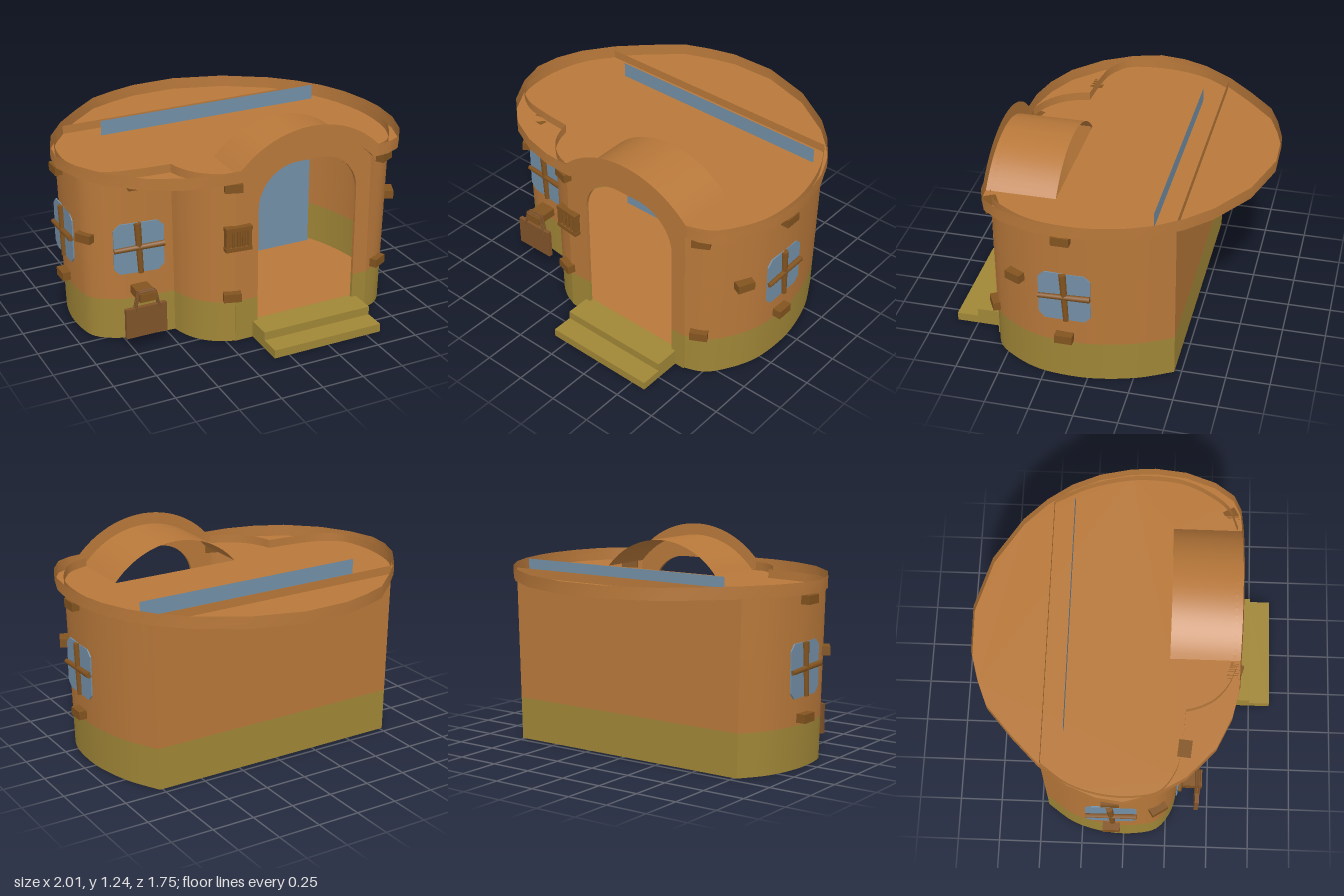
import * as THREE from 'three';
import { toCreasedNormals } from 'three/addons/utils/BufferGeometryUtils.js';

const material = (name, color, side = THREE.FrontSide) => {
  const m = new THREE.MeshStandardMaterial({ color, side });
  m.name = name;
  return m;
};

export function createModel() {
  const group = new THREE.Group();
  group.name = 'cottage';
  const clay = material('clay', 0xb8783a, THREE.DoubleSide);
  const olive = material('olive', 0xa08637, THREE.DoubleSide);
  const glass = material('glass blue', 0x738fa6, THREE.DoubleSide);
  const wood = material('dark wood', 0x82531f);
  const leather = material('bag brown', 0x80532a);

  const add = (name, geo, mat, pos = [0, 0, 0], yaw = 0, parent = group) => {
    const mesh = new THREE.Mesh(geo, mat);
    mesh.name = name;
    mesh.position.set(...pos);
    mesh.rotation.y = yaw;
    parent.add(mesh);
    return mesh;
  };
  const box = (w, h, d) => new THREE.BoxGeometry(w, h, d);
  const smooth = (pts, n) =>
    new THREE.CatmullRomCurve3(pts.map(([x, z]) => new THREE.Vector3(x, 0, z)), false, 'centripetal')
      .getPoints(n).map(p => [p.x, p.z]);

  // Vertical sheet following a plan path; walls lean out slightly with height
  const lean = y => 0.97 + 0.03 * y;
  const ribbon = (path, levels, f = () => 1) => {
    const v = [];
    for (let j = 0; j < levels.length - 1; j++) {
      const [y0, y1] = [levels[j], levels[j + 1]];
      for (let i = 0; i < path.length - 1; i++) {
        const P = (k, y) => [path[k][0] * f(y), y, path[k][1]];
        const a = P(i + 1, y0), b = P(i, y0), c = P(i, y1), d = P(i + 1, y1);
        v.push(...a, ...b, ...c, ...a, ...c, ...d);
      }
    }
    const g = new THREE.BufferGeometry();
    g.setAttribute('position', new THREE.Float32BufferAttribute(v, 3));
    return toCreasedNormals(g, 0.6);
  };
  const plate = path => new THREE.ShapeGeometry(
    new THREE.Shape(path.map(([x, z]) => new THREE.Vector2(x, -z)))).rotateX(-Math.PI / 2);

  // Wall plan, from the left of the door around the back to its right
  const nook = smooth([[-0.2, 0.605], [-0.3, 0.565], [-0.39, 0.49], [-0.44, 0.4], [-0.46, 0.33]], 12);
  const rightSide = smooth([[-0.46, 0.33], [-0.65, 0.315], [-0.8, 0.285], [-0.92, 0.2], [-0.955, 0.08],
    [-0.955, -0.1], [-0.9, -0.3], [-0.79, -0.46]], 28);
  const leftSide = smooth([[0.79, -0.46], [0.89, -0.27], [0.95, -0.05], [0.96, 0.1], [0.94, 0.28],
    [0.88, 0.42], [0.78, 0.55], [0.65, 0.605]], 28);
  const plan = [...nook, ...rightSide.slice(1), ...leftSide];
  add('lowerWall', ribbon(plan, [0, 0.25], lean), olive);
  add('upperWall', ribbon(plan, [0.25, 0.65, 1.03], lean), clay);
  add('floor', plate(plan.map(([x, z]) => [x * 0.97, z])), clay, [0, 0.003, 0]);

  // Arc over the door, given half width, foot height and rise
  const arc = (half, foot, rise, n = 24) => {
    const r = (half * half + rise * rise) / (2 * rise);
    const t = Math.asin(half / r);
    return Array.from({ length: n + 1 }, (_, i) => {
      const a = -t + 2 * t * i / n;
      return new THREE.Vector2(0.25 + r * Math.sin(a), foot + rise - r + r * Math.cos(a));
    });
  };
  const inner = arc(0.4, 0.98, 0.185), outer = arc(0.43, 1.05, 0.185);

  // Front wall with a round-cornered doorway
  const front = new THREE.Shape();
  front.moveTo(-0.2, 0.25);
  front.lineTo(-0.06, 0.25);
  front.lineTo(-0.06, 0.8);
  front.absarc(0.18, 0.79, 0.24, Math.PI, Math.PI / 2, true);
  front.absarc(0.32, 0.79, 0.24, Math.PI / 2, 0, true);
  front.lineTo(0.56, 0.25);
  front.lineTo(0.65, 0.25);
  front.lineTo(0.65, 0.98);
  [...inner].reverse().forEach(p => front.lineTo(p.x, p.y));
  front.lineTo(-0.2, 0.98);
  add('doorWall', new THREE.ExtrudeGeometry(front, { depth: 0.02, bevelEnabled: false, curveSegments: 12 }),
    clay, [0, 0, 0.585]);
  add('doorBaseRight', box(0.14, 0.25, 0.02), olive, [-0.13, 0.125, 0.595]);
  add('doorBaseLeft', box(0.09, 0.25, 0.02), olive, [0.605, 0.125, 0.595]);
  add('backPanel', new THREE.PlaneGeometry(1.4, 1.066), glass, [0.1, 0.537, -0.34]);

  // Steps
  add('upperStep', box(0.68, 0.1, 0.17), olive, [0.25, 0.05, 0.665]);
  add('lowerStep', box(0.68, 0.05, 0.13), olive, [0.25, 0.025, 0.81]);

  // Roof plate with a notch under the porch vault, and its upright rim
  const rim = [[-0.18, 0.63], [-0.33, 0.625], [-0.5, 0.585], [-0.68, 0.5], [-0.85, 0.34], [-0.95, 0.17],
    [-1, 0], [-0.98, -0.15], [-0.92, -0.3], [-0.8, -0.47], [-0.65, -0.62], [-0.48, -0.77], [-0.33, -0.83],
    [-0.17, -0.875], [0.1, -0.88], [0.4, -0.79], [0.65, -0.63], [0.78, -0.5], [0.88, -0.36], [0.95, -0.2],
    [0.99, -0.02], [1, 0.12], [0.98, 0.3], [0.92, 0.47], [0.84, 0.58], [0.75, 0.622], [0.68, 0.63]];
  add('roof', plate([...rim, [0.65, 0.63], [0.65, 0.235], [-0.15, 0.235], [-0.15, 0.63]]), clay, [0, 0.98, 0]);
  add('roofRim', ribbon(rim, [0.98, 1.05]), clay);
  const fascia = new THREE.Shape([new THREE.Vector2(-0.18, 0.98), ...inner, new THREE.Vector2(0.68, 0.98),
    ...[...outer].reverse()]);
  add('archFascia', new THREE.ShapeGeometry(fascia), clay, [0, 0, 0.63]);

  // Porch vault: the inner arc swept back along z
  const vault = new THREE.PlaneGeometry(1, 1, inner.length - 1, 1);
  const vp = vault.attributes.position;
  for (let i = 0; i < vp.count; i++) {
    const p = inner[i % inner.length];
    vp.setXYZ(i, p.x, p.y, i < inner.length ? 0.235 : 0.63);
  }
  vault.computeVertexNormals();
  add('porchVault', vault, clay);

  // Windows: cut-corner pane with crossed round bars
  const [w, h, c] = [0.145, 0.152, 0.035];
  const pane = new THREE.Shape([[-w + c, -h], [w - c, -h], [w, -h + c], [w, h - c], [w - c, h], [-w + c, h],
    [-w, h - c], [-w, -h + c]].map(p => new THREE.Vector2(...p)));
  const paneGeo = new THREE.ExtrudeGeometry(pane, { depth: 0.008, bevelEnabled: false });
  const addWindow = (name, pos, yaw) => {
    const win = new THREE.Group();
    win.name = name;
    win.position.set(...pos);
    win.rotation.y = yaw;
    group.add(win);
    add('pane', paneGeo, glass, [0, 0, 0], 0, win);
    add('uprightBar', new THREE.CylinderGeometry(0.021, 0.016, 2 * h, 8), wood, [0, 0, 0.012], 0, win)
      .rotation.z = 0.05;
    add('crossBar', new THREE.CylinderGeometry(0.014, 0.018, 2 * w, 8), wood, [0, 0.005, 0.016], 0, win)
      .rotation.z = Math.PI / 2 + 0.04;
  };
  addWindow('frontWindow', [-0.655, 0.563, 0.316], -0.12);
  addWindow('leftWindow', [0.947, 0.563, 0.115], Math.PI / 2);
  addWindow('rightWindow', [-0.945, 0.563, -0.07], -Math.PI / 2);

  // Beam ends sticking out of the walls: x, y, z, yaw
  [[-0.215, 0.955, 0.6, -0.3], [-0.22, 0.292, 0.6, -0.3], [-0.67, 0.955, 0.33, -0.1],
    [0.74, 0.955, 0.575, 0.5], [0.73, 0.292, 0.57, 0.5],
    [0.965, 0.95, 0.12, 1.57], [0.95, 0.292, 0.12, 1.57], [0.895, 0.627, 0.4, 1.15],
    [-0.965, 0.95, -0.07, -1.57], [-0.95, 0.292, -0.07, -1.57], [-0.915, 0.627, 0.19, -1.0],
  ].forEach(([x, y, z, yaw]) => add('beamEnd', box(0.1, 0.05, 0.075), wood, [x, y, z], yaw));
  add('bagPeg', box(0.1, 0.05, 0.14), wood, [-0.66, 0.315, 0.385]);

  // Bag hanging from the peg
  add('bag', box(0.245, 0.18, 0.025), leather, [-0.668, 0.165, 0.43]);
  const strap = new THREE.CurvePath();
  const sp = [[-0.735, 0.235], [-0.712, 0.345], [-0.612, 0.345], [-0.588, 0.235]]
    .map(([x, y]) => new THREE.Vector3(x, y, 0));
  for (let i = 0; i < 3; i++) strap.add(new THREE.LineCurve3(sp[i], sp[i + 1]));
  for (const z of [0.42, 0.44]) add('bagStrap', new THREE.TubeGeometry(strap, 24, 0.007, 6), leather, [0, 0, z]);

  // Small barred vent beside the door
  const vent = new THREE.Group();
  vent.name = 'vent';
  vent.position.set(-0.19, 0.648, 0.61);
  vent.rotation.y = -0.1;
  group.add(vent);
  add('ventBack', box(0.13, 0.13, 0.02), wood, [0, 0, 0], 0, vent);
  for (const s of [-1, 1]) {
    add('ventRail', box(0.155, 0.022, 0.045), wood, [0, s * 0.06, 0.005], 0, vent);
    add('ventSide', box(0.02, 0.13, 0.04), wood, [s * 0.064, 0, 0.005], 0, vent);
  }
  for (const x of [-0.03, 0, 0.03])
    add('ventBar', new THREE.CylinderGeometry(0.009, 0.009, 0.11, 6), wood, [x, 0, 0.014], 0, vent);

  return group;
}
